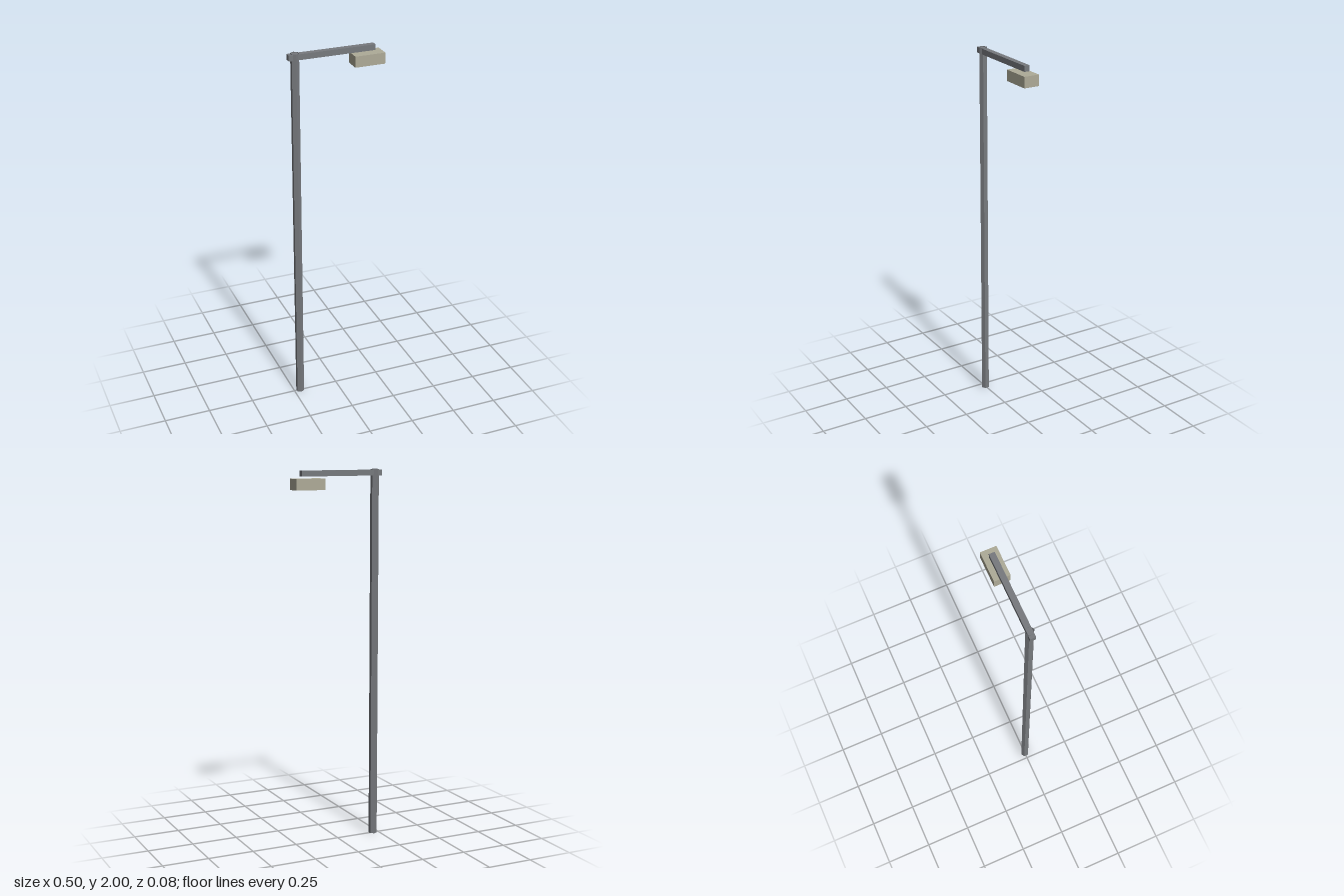
import * as THREE from 'three';

const metal = new THREE.MeshStandardMaterial({ color: 0x777a7e, flatShading: true, side: THREE.DoubleSide });
const shade = new THREE.MeshStandardMaterial({ color: 0xaeab98, flatShading: true, side: THREE.DoubleSide });

function addPart(group, name, geometry, material, x, y, z) {
  const mesh = new THREE.Mesh(geometry, material);
  mesh.name = name;
  mesh.position.set(x, y, z);
  group.add(mesh);
  return mesh;
}

// Box without its underside
function openBottomBox(w, h, d) {
  const box = new THREE.BoxGeometry(w, h, d);
  const index = Array.from(box.index.array);
  index.splice(18, 6); // the -y face
  box.setIndex(index);
  box.clearGroups();
  return box;
}

export function createModel() {
  const lamp = new THREE.Group();
  lamp.name = 'streetLamp';

  // Hollow six-sided pole, open at both ends
  addPart(lamp, 'pole', new THREE.CylinderGeometry(0.0225, 0.0225, 2, 6, 1, true), metal, -0.216, 1, 0);

  // Horizontal arm passing through the pole just below its top
  addPart(lamp, 'arm', new THREE.BoxGeometry(0.462, 0.03, 0.03), metal, -0.0215, 1.981, 0);

  // Lamp housing, open below, hanging under the end of the arm
  addPart(lamp, 'lampHousing', openBottomBox(0.163, 0.058, 0.084), shade, 0.171, 1.926, 0);

  return lamp;
}
